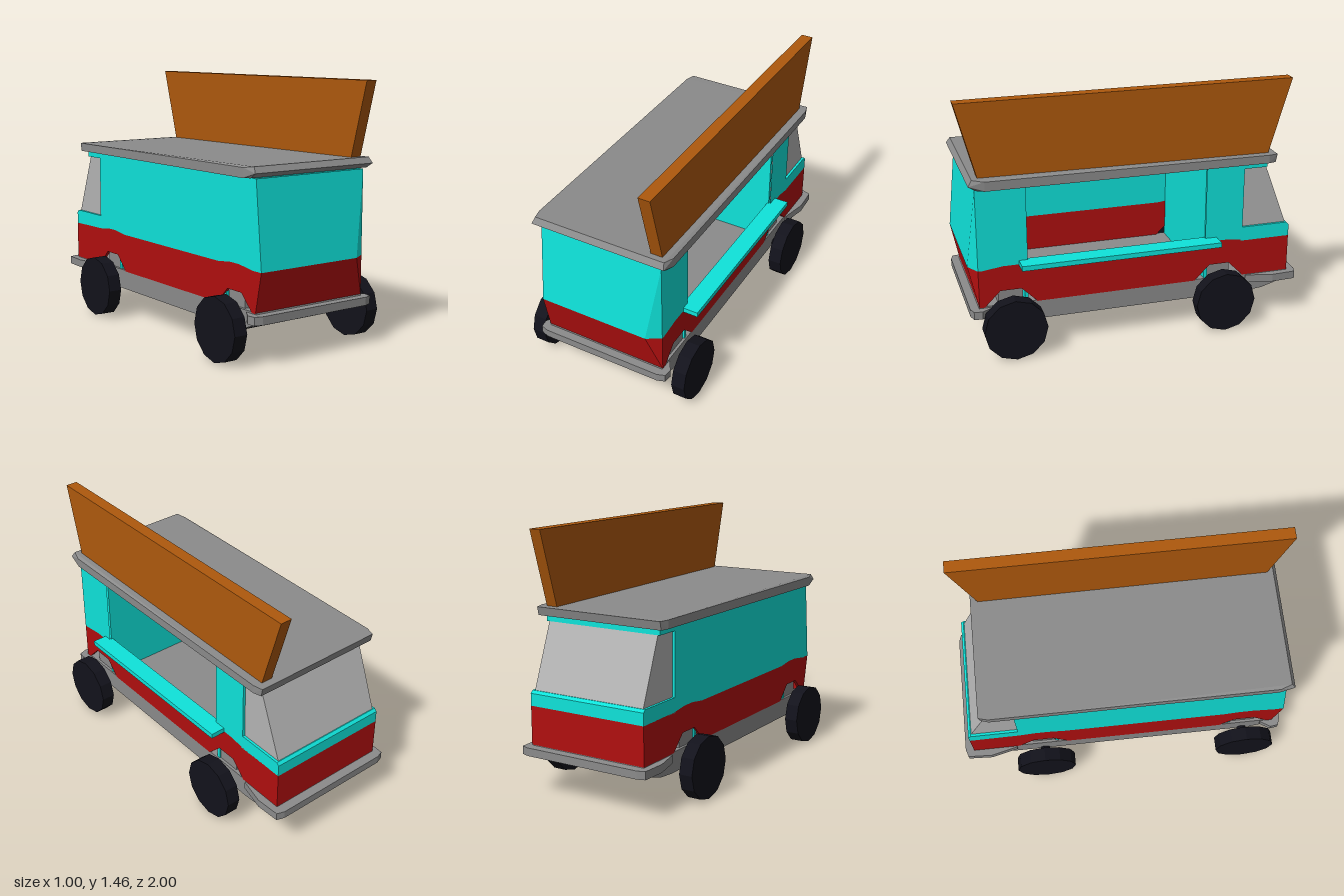
import * as THREE from 'three';
import { ConvexGeometry } from 'three/addons/geometries/ConvexGeometry.js';

const mat = (color, side = THREE.FrontSide) => new THREE.MeshStandardMaterial({ color, side, flatShading: true });

export function createModel() {
  const van = new THREE.Group();
  van.name = 'foodVan';
  const teal = mat(0x0fe3da), red = mat(0xb00f0f), wood = mat(0xae590d);
  const rubber = mat(0x12121b), steel = mat(0x8b8b8b), glass = mat(0xb4b4b4);

  const add = (name, geometry, material, parent = van) => {
    const mesh = new THREE.Mesh(geometry, material);
    mesh.name = name;
    parent.add(mesh);
    return mesh;
  };
  // box given by its limits on each axis
  const box = (name, [x0, x1], [y0, y1], [z0, z1], material) =>
    add(name, new THREE.BoxGeometry(x1 - x0, y1 - y0, z1 - z0), material)
      .position.set((x0 + x1) / 2, (y0 + y1) / 2, (z0 + z1) / 2);
  // side profile of [z, y] points, extruded across x
  const profile = (name, pts, x0, x1, material, hole) => {
    const toVectors = (list) => list.map(([z, y]) => new THREE.Vector2(z, y));
    const shape = new THREE.Shape(toVectors(pts));
    if (hole) shape.holes.push(new THREE.Path(toVectors(hole)));
    const g = new THREE.ExtrudeGeometry(shape, { depth: x1 - x0, bevelEnabled: false });
    g.rotateY(-Math.PI / 2).translate(x1, 0, 0);
    return add(name, g, material);
  };
  const hull = (name, pts, material) =>
    add(name, new ConvexGeometry(pts.map((p) => new THREE.Vector3(...p))), material);

  const W = 0.37, T = 0.02;
  const axles = [0.73, -0.51];

  // colour line between lower and upper body, lifted a little over the wheels
  const waist = [[0.91, 0.5]];
  const lowerEdge = [[0.91, 0.28]];
  for (const z of axles) {
    waist.push([z + 0.14, 0.505], [z + 0.04, 0.518], [z - 0.04, 0.518], [z - 0.14, 0.505]);
    lowerEdge.push([z + 0.15, 0.28], [z + 0.06, 0.37], [z - 0.06, 0.37], [z - 0.15, 0.28]);
  }
  waist.push([-0.945, 0.5]);
  lowerEdge.push([-0.945, 0.28]);

  // side panels: wheel arches below, cab window notch above, hatch on the left side
  const upper = [...waist, [-0.945, 0.57], [-0.93, 0.585], [-0.65, 0.585], [-0.65, 0.945],
    [-0.79, 0.945], [-0.79, 0.98], [0.91, 0.98]];
  const hatch = [[0.63, 0.535], [-0.42, 0.535], [-0.42, 0.97], [0.63, 0.97]];
  for (const s of [1, -1]) {
    const x0 = s > 0 ? W - T : -W, side = s > 0 ? 'left' : 'right';
    profile(side + 'LowerSide', [...waist, ...lowerEdge.slice().reverse()], x0, x0 + T, red);
    profile(side + 'UpperSide', upper, x0, x0 + T, teal, s > 0 ? hatch : null);
  }

  // bulging end panel, straight at the hatch-side corner
  const endPanel = (name, y0, z0, y1, z1, material) => hull(name,
    [[y0, z0], [y1, z1]].flatMap(([y, z]) =>
      [[-W, y, 0.89], [W, y, 0.89], [-W, y, z], [0.29, y, z], [W, y, 0.91]]), material);
  endPanel('lowerEndPanel', 0.28, 0.91, 0.503, 0.957, red);
  endPanel('upperEndPanel', 0.503, 0.957, 0.98, 0.91, teal);

  // cab end: lower panel, sill, header and glazing
  box('cabLowerPanel', [-W, W], [0.28, 0.5], [-0.945, -0.92], red);
  profile('cabSill', [[-0.945, 0.5], [-0.945, 0.57], [-0.93, 0.585], [-0.64, 0.585], [-0.64, 0.5]], -W, W, teal);
  box('cabHeader', [-W, W], [0.945, 0.98], [-0.79, -0.64], teal);
  profile('cabGlass', [[-0.64, 0.58], [-0.927, 0.58], [-0.785, 0.95], [-0.64, 0.95]], -0.355, 0.355, glass);

  // kitchen interior
  box('cabPartition', [-0.36, 0.36], [0.27, 0.98], [-0.44, -0.42], teal);
  box('endPartition', [-0.36, 0.36], [0.27, 0.98], [0.63, 0.65], teal);
  box('ceiling', [-0.36, 0.36], [0.968, 0.985], [-0.64, 0.9], teal);
  box('servingCounter', [0.35, 0.457], [0.512, 0.541], [-0.49, 0.68], teal);

  // chassis tray with sloping ends, and wheel wells
  profile('chassis', [[0.91, 0.285], [0.93, 0.23], [0.78, 0.17], [-0.68, 0.17], [-0.79, 0.18],
    [-0.96, 0.23], [-0.94, 0.285]], -0.368, 0.368, steel);
  axles.forEach((z) => box('wheelWell', [-0.352, 0.352], [0.27, 0.38], [z - 0.07, z + 0.07], steel));

  // bumpers wrapping each end, corners cut
  const bumper = (name, inner, shoulder, tip) => hull(name, [0.23, 0.276].flatMap((y) =>
    [-1, 1].flatMap((s) => [[s * 0.375, y, inner], [s * 0.412, y, shoulder],
      [s * 0.405, y, tip - Math.sign(tip) * 0.015], [s * 0.36, y, tip]])), steel);
  bumper('cabBumper', -0.68, -0.84, -0.998);
  bumper('endBumper', 0.84, 0.9, 0.962);

  // roof with an upturned lip at the end
  hull('roof', [-1, 1].flatMap((s) => [
    [s * 0.4, 0.98, -0.825], [s * 0.4, 1.028, -0.835], [s * 0.415, 0.982, -0.78], [s * 0.415, 1.03, -0.78],
    [s * 0.415, 0.982, 0.86], [s * 0.415, 1.036, 0.86], [s * 0.4, 0.985, 0.905],
    [s * 0.405, 1.012, 0.947], [s * 0.395, 1.045, 0.925]]), steel);

  // raised hatch board along the roof edge
  profile('hatchBoard', [[0.885, 1.025], [1.0, 1.462], [-0.92, 1.462], [-0.79, 1.025]], 0.298, 0.367, wood);

  // wheels and axles
  for (const z of axles) {
    const set = new THREE.Group();
    set.name = 'wheelSet';
    set.position.set(0, 0.179, z);
    van.add(set);
    add('axle', new THREE.CylinderGeometry(0.028, 0.028, 0.9, 10).rotateZ(Math.PI / 2), rubber, set);
    for (const s of [1, -1]) {
      add('wheel', new THREE.CylinderGeometry(0.179, 0.179, 0.08, 12).rotateZ(Math.PI / 2), rubber, set)
        .position.x = s * 0.461;
    }
  }
  return van;
}
